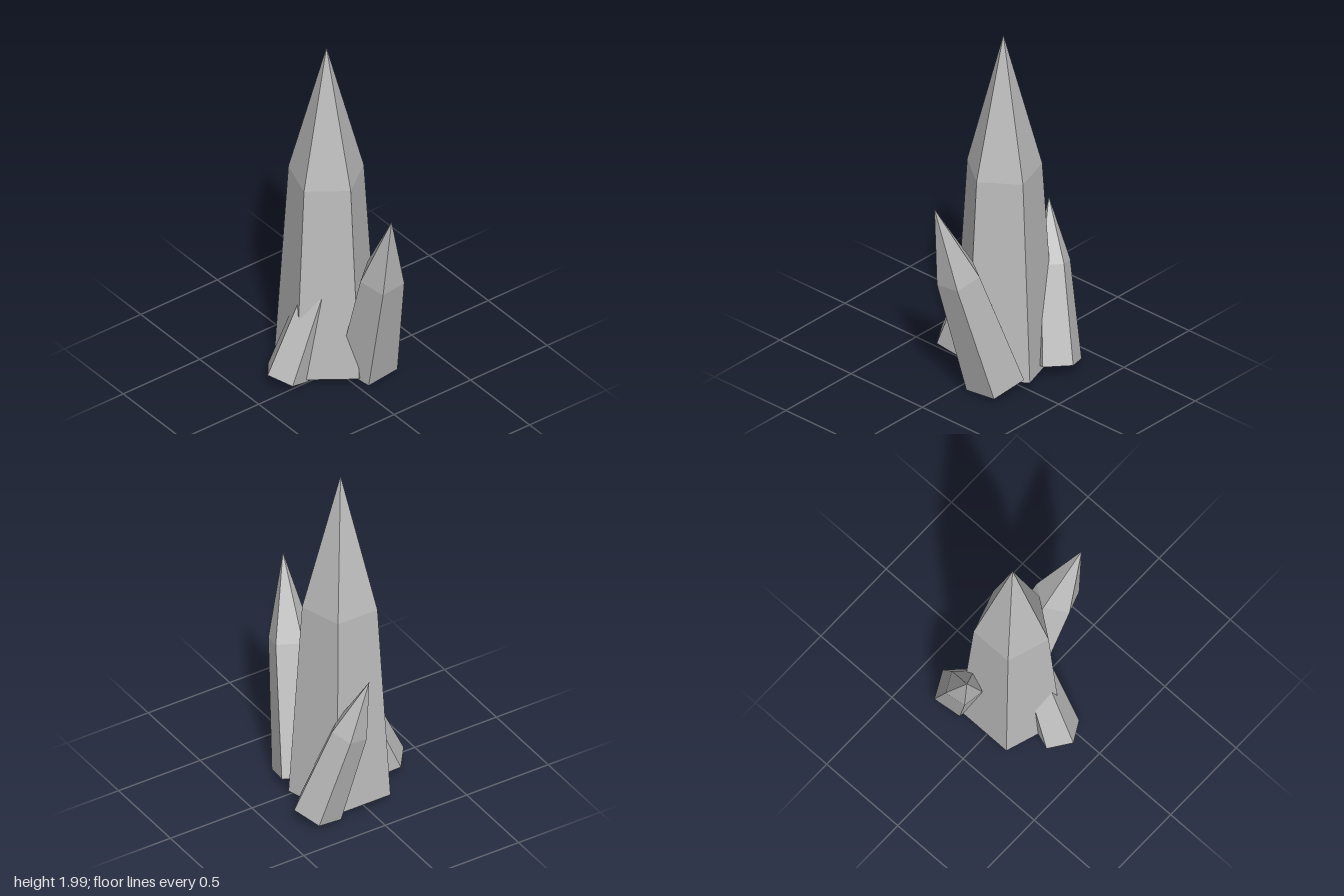
import * as THREE from 'three';

const crystalGrey = new THREE.MeshStandardMaterial({ color: 0xbcbcbc, flatShading: true });
crystalGrey.name = 'crystalGrey';

// Five-sided tapered shaft with a pointed tip, running from base centre to tip.
// angle: heading of one corner in degrees, from +x towards +z.
function crystal(name, base, tip, radius, angle, shoulder = 0.6) {
  const from = new THREE.Vector3(...base);
  const axis = new THREE.Vector3(...tip).sub(from);
  const length = axis.length();
  const profile = [
    new THREE.Vector2(0, 0),
    new THREE.Vector2(radius, 0),
    new THREE.Vector2(radius * 0.74, length * shoulder),
    new THREE.Vector2(0, length),
  ];
  const start = THREE.MathUtils.degToRad(90 - angle);
  const geometry = new THREE.LatheGeometry(profile, 5, start).toNonIndexed();
  geometry.computeVertexNormals();
  const mesh = new THREE.Mesh(geometry, crystalGrey);
  mesh.name = name;
  mesh.position.copy(from);
  mesh.quaternion.setFromUnitVectors(new THREE.Vector3(0, 1, 0), axis.normalize());
  return mesh;
}

export function createModel() {
  const group = new THREE.Group();
  group.name = 'crystalCluster';
  group.add(
    // Tall upright shaft
    crystal('mainCrystal', [-0.1, 0.04, -0.02], [-0.1, 2, -0.02], 0.278, 0, 0.592),
    // Smaller shafts leaning around it
    crystal('leftCrystal', [0.09, 0.055, -0.14], [0.44, 1.19, -0.03], 0.163, 34, 0.605),
    crystal('backRightCrystal', [-0.25, 0.055, -0.26], [-0.42, 0.89, -0.047], 0.135, 135, 0.61),
    crystal('frontCrystal', [-0.067, 0.055, 0.27], [-0.02, 0.83, -0.02], 0.122, 94),
  );
  return group;
}
